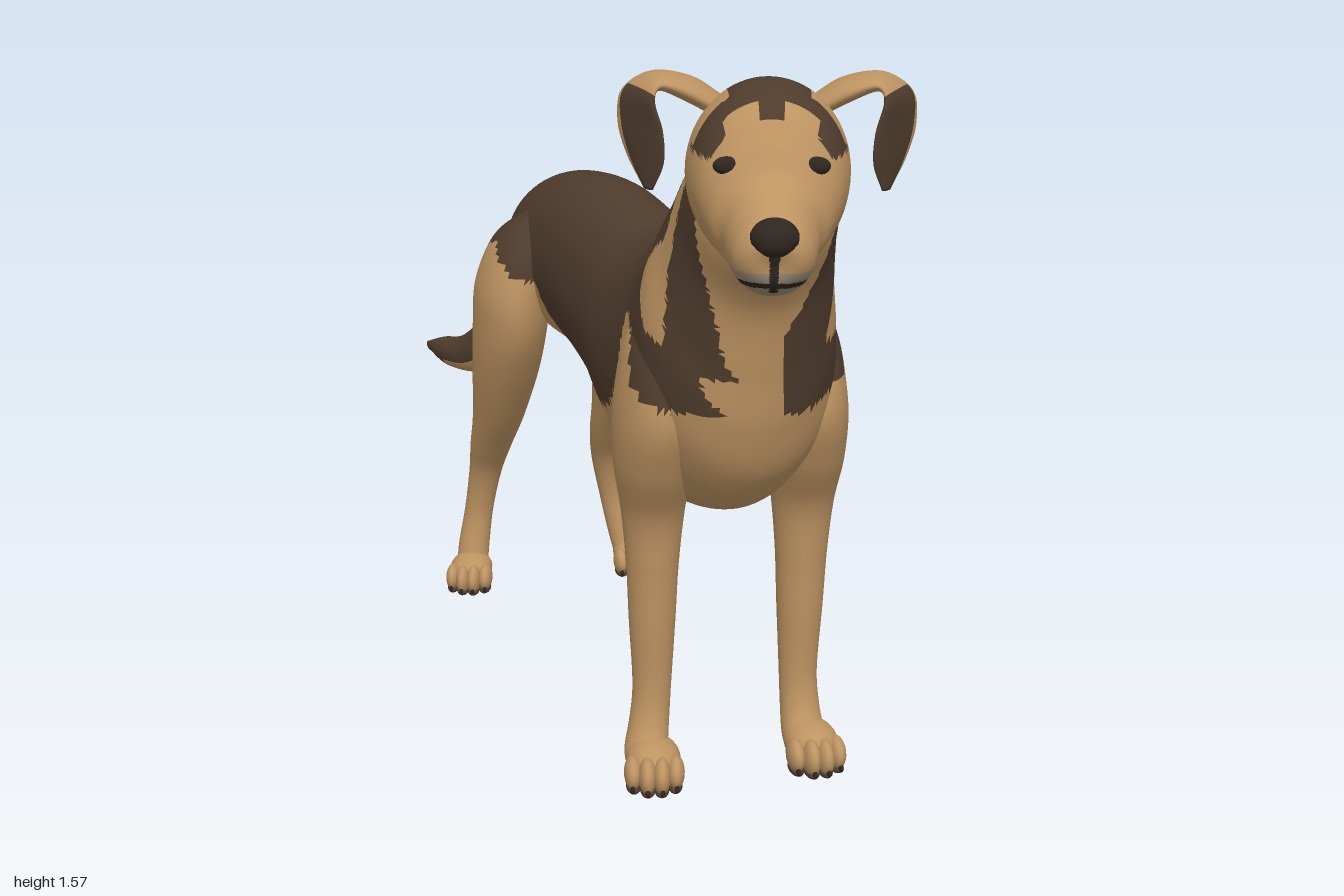
import * as THREE from 'three';

const mat = (name, color) => Object.assign(new THREE.MeshStandardMaterial({ color }), { name });
const COATS = [mat('tanCoat', 0xbe9462), mat('darkCoat', 0x4f3c2d), mat('greyMuzzle', 0x9c8b78), mat('darkSkin', 0x2f2620)];
const [TAN, DARK, GREY, SKIN] = [0, 1, 2, 3];
const V = (x, y, z) => new THREE.Vector3(x, y, z);

// Smooth tube through elliptical sections {c, u, v}; paint(point, angle, along) picks a coat per face.
function loft(name, sections, paint, steps = 8, around = 40) {
  const track = key => new THREE.CatmullRomCurve3(sections.map(s => s[key]), false, 'catmullrom', 0.5);
  const [C, U, W] = ['c', 'u', 'v'].map(track);
  const rings = (sections.length - 1) * steps, pos = [], buckets = COATS.map(() => []);
  for (let i = 0; i <= rings; i++) {
    const k = i / rings, c = C.getPoint(k), u = U.getPoint(k), v = W.getPoint(k);
    for (let j = 0; j < around; j++) {
      const t = j / around * Math.PI * 2;
      pos.push(...c.clone().addScaledVector(u, Math.cos(t)).addScaledVector(v, Math.sin(t)).toArray());
    }
  }
  const first = pos.length / 3, last = first + 1;
  pos.push(...C.getPoint(0).toArray(), ...C.getPoint(1).toArray());
  const m = sections.length >> 1, s = sections[m];
  const flip = s.u.clone().cross(s.v).dot(sections[m + 1].c.clone().sub(sections[m - 1].c)) < 0;
  const P = i => V(pos[i * 3], pos[i * 3 + 1], pos[i * 3 + 2]);
  const face = (a, b, c, t, k) => {
    const mid = P(a).add(P(b)).add(P(c)).divideScalar(3);
    buckets[paint(mid, t, k)].push(a, ...(flip ? [c, b] : [b, c]));
  };
  for (let j = 0; j < around; j++) {
    const n = (j + 1) % around, t = (j + 0.5) / around * Math.PI * 2, top = rings * around;
    for (let i = 0; i < rings; i++) {
      const a = i * around, b = a + around, k = (i + 0.5) / rings;
      face(a + j, a + n, b + n, t, k);
      face(a + j, b + n, b + j, t, k);
    }
    face(first, n, j, t, 0);
    face(last, top + j, top + n, t, 1);
  }
  const g = new THREE.BufferGeometry();
  g.setAttribute('position', new THREE.Float32BufferAttribute(pos, 3));
  g.setIndex(buckets.flat());
  let start = 0;
  buckets.forEach((b, i) => { if (b.length) g.addGroup(start, b.length, i); start += b.length; });
  g.computeVertexNormals();
  const mesh = new THREE.Mesh(g, COATS);
  mesh.name = name;
  return mesh;
}

// The spine runs diagonally, the head faces straight ahead.
const HEAD_X = 0.288;
const spineX = z => Math.min(HEAD_X, 0.085 + 0.39 * z);
const yawAt = z => 0.37 * (1 - THREE.MathUtils.smoothstep(z, 0.35, 0.62));

// Section from its top and bottom points in side profile and its half width.
const profile = (rows, xAt, yaw) => rows.map(([zt, yt, zb, yb, w]) => {
  const T = V(xAt(zt), yt, zt), B = V(xAt(zb), yb, zb), a = yaw((zt + zb) / 2);
  return { c: T.clone().add(B).multiplyScalar(0.5), v: T.clone().sub(B).multiplyScalar(0.5), u: V(w * Math.cos(a), 0, -w * Math.sin(a)) };
});

// Coat markings, as outlines along the spine (s) and up (y).
const SADDLE = [[-.9, .93], [-.62, .94], [-.48, .98], [-.36, .9], [-.3, .8], [-.18, .76], [0, .735], [.1, .76], [.2, .8], [.26, .86],
  [.28, 1.03], [.38, 1], [.45, .92], [.54, .88], [.6, .88], [.59, 1], [.48, 1.03], [.4, 1.09], [.36, 1.14], [.42, 1.19],
  [.48, 1.22], [.48, 1.3], [.52, 1.4], [.56, 1.46], [.62, 1.65], [-.9, 1.65]];
const STRIPE = [[.57, 1.5], [.55, 1.3], [.53, 1.15], [.55, .96], [.61, .96], [.62, 1.12], [.64, 1.25], [.65, 1.42], [.64, 1.5]];
function inside(poly, x, y) {
  let hit = false;
  poly.forEach(([x1, y1], i) => {
    const [x2, y2] = poly[(i + 1) % poly.length];
    if ((y1 > y) !== (y2 > y) && x < x1 + (x2 - x1) * (y - y1) / (y2 - y1)) hit = !hit;
  });
  return hit;
}
function bodyCoat(p) {
  const lat = p.x - spineX(p.z), s = p.z + 0.9 * lat * yawAt(p.z);
  if (s > 0.5 && Math.abs(lat) < 0.045) return TAN;
  return inside(SADDLE, s, p.y) || inside(STRIPE, s, p.y) ? DARK : TAN;
}
function headCoat(p) {
  const l = Math.abs(p.x - HEAD_X), { y, z } = p;
  if (z < 0.71 && y > 1.45) return l < 0.075 ? DARK : TAN;
  if (z < 0.69) return bodyCoat(p);
  if (z < 0.79 && y > 1.44) return z > 0.76 && l > 0.025 && l < 0.085 ? TAN : DARK;
  if (z > 0.88 && y > 1.245 && y < 1.256) return SKIN;
  if (z > 0.95 && l < 0.008 && y < 1.32) return SKIN;
  return z > 0.87 && y < 1.275 ? GREY : TAN;
}

function ball(name, material, c, r) {
  const m = new THREE.Mesh(new THREE.SphereGeometry(1, 20, 14), material);
  m.name = name;
  m.position.copy(c);
  m.scale.set(...r);
  return m;
}

// Limb through rows of [x, y, z, half width, half depth].
const limb = (name, rows) => loft(name, rows.map(([x, y, z, w, d]) => ({
  c: V(x, y, z), u: V(w * 0.98, 0, -w * 0.2), v: V(d * 0.2, 0, d * 0.98),
})), bodyCoat);

// Paw with four toes, claws and a dark sole.
function paw(name, x, z, yaw, size) {
  const g = new THREE.Group();
  g.name = name;
  g.position.set(x, 0, z);
  g.rotation.y = yaw;
  g.scale.setScalar(size);
  g.add(ball('pawBody', COATS[TAN], V(0, 0.05, -0.01), [0.056, 0.042, 0.072]));
  [-1.5, -0.5, 0.5, 1.5].forEach(i => {
    const outer = Math.abs(i) > 1, tz = outer ? 0.035 : 0.052;
    g.add(ball('toe', COATS[TAN], V(i * 0.029, 0.041, tz), [0.0185, outer ? 0.034 : 0.038, 0.04]));
    g.add(ball('toePad', COATS[DARK], V(i * 0.028, 0.012, tz), [0.016, 0.012, 0.034]));
    g.add(ball('claw', COATS[SKIN], V(i * 0.03, 0.02, tz + 0.034), [0.005, 0.008, 0.01]));
  });
  g.add(ball('heelPad', COATS[DARK], V(0, 0.014, -0.025), [0.045, 0.014, 0.045]));
  return g;
}

export function createModel() {
  const dog = new THREE.Group();
  dog.name = 'dog';

  // Torso and neck
  dog.add(loft('torsoAndNeck', profile([
    [-.745, .95, -.70, .86, .03], [-.72, 1.02, -.68, .78, .11], [-.64, 1.085, -.58, .74, .15], [-.5, 1.135, -.45, .73, .165],
    [-.3, 1.16, -.28, .73, .165], [-.1, 1.145, -.1, .68, .165], [.02, 1.127, .05, .62, .18], [.14, 1.15, .22, .575, .195],
    [.22, 1.185, .42, .62, .205], [.28, 1.225, .53, .72, .21], [.33, 1.28, .585, .84, .195], [.39, 1.355, .61, .97, .17],
    [.45, 1.42, .64, 1.1, .155], [.52, 1.49, .7, 1.19, .142], [.58, 1.53, .73, 1.225, .115],
  ], spineX, yawAt), bodyCoat, 12, 72));

  // Head and muzzle
  dog.add(loft('head', profile([
    [.52, 1.47, .55, 1.28, .05], [.545, 1.53, .6, 1.23, .12], [.62, 1.56, .66, 1.22, .152], [.7, 1.562, .72, 1.215, .15],
    [.77, 1.535, .77, 1.22, .135], [.815, 1.475, .81, 1.22, .114], [.85, 1.42, .85, 1.217, .091], [.91, 1.387, .9, 1.217, .081],
    [.955, 1.367, .94, 1.228, .07], [.983, 1.34, .968, 1.255, .045], [.988, 1.32, .975, 1.29, .01],
  ], () => HEAD_X, () => 0), headCoat, 12, 72));
  dog.add(ball('nose', COATS[SKIN], V(HEAD_X, 1.337, 0.963), [0.044, 0.036, 0.037]));

  for (const s of [-1, 1]) {
    const side = s < 0 ? 'right' : 'left';
    const X = x => HEAD_X + s * x;
    // Eyes
    dog.add(ball(side + 'Eye', COATS[SKIN], V(X(0.08), 1.432, 0.812), [0.026, 0.017, 0.014]));
    // Folded ears: x out, y, z, half width (sideways, forward), thickness
    const ear = [[.09, 1.5, .6, 0, .05, .02], [.15, 1.535, .605, 0, .062, .022], [.21, 1.55, .612, -.012, .062, .016],
      [.242, 1.525, .63, -.03, .058, .014], [.238, 1.47, .645, -.042, .052, .011], [.228, 1.41, .655, -.034, .04, .009],
      [.222, 1.355, .662, -.008, .012, .005]].map(([x, y, z, ux, uz, t]) => ({ c: V(X(x), y, z), u: V(s * ux, 0, uz), t }));
    ear.forEach((e, i) => {
      const along = ear[Math.min(i + 1, 6)].c.clone().sub(ear[Math.max(i - 1, 0)].c);
      e.v = along.cross(e.u).normalize().multiplyScalar(e.t);
    });
    dog.add(loft(side + 'Ear', ear, (p, t, k) => (k > 0.45 && Math.cos(t) > -0.65 ? DARK : TAN), 8, 32));

    // Front legs
    const fx = s < 0 ? 0.075 : 0.395, fz = s < 0 ? 0.375 : 0.29;
    dog.add(limb(side + 'FrontLeg', [
      [-.04, 1.07, .01, .02, .03], [-.02, 1.0, .03, .07, .11], [-.005, .85, .035, .085, .15], [0, .72, .025, .082, .12],
      [0, .6, 0, .067, .08], [0, .48, 0, .056, .062], [0, .35, 0, .05, .053], [0, .2, 0, .042, .043],
      [.005, .12, .01, .043, .046], [.012, .06, .035, .046, .055], [.014, .025, .045, .04, .05],
    ].map(([x, y, z, w, d]) => [fx + s * x, y, fz + z, w, d])));
    dog.add(ball(side + 'DewPad', COATS[TAN], V(fx - s * 0.02, 0.165, fz - 0.035), [0.016, 0.022, 0.018]));
    dog.add(paw(side + 'FrontPaw', s < 0 ? 0.08 : 0.425, s < 0 ? 0.452 : 0.362, s < 0 ? 0.05 : 0.2, 1.05));

    // Hind legs: right x, left x, y, z, half width, half depth
    const hz = s < 0 ? 0.1 : 0;
    dog.add(limb(side + 'HindLeg', [
      [-.21, -.07, 1.05, -.55, .02, .03], [-.24, -.02, .98, -.55, .075, .12], [-.272, .008, .87, -.55, .09, .155],
      [-.282, .013, .76, -.56, .09, .155], [-.296, 0, .64, -.585, .082, .122], [-.32, -.022, .5, -.64, .065, .085],
      [-.345, -.042, .4, -.692, .053, .062], [-.365, -.05, .31, -.735, .042, .047], [-.385, -.035, .2, -.75, .037, .036],
      [-.4, -.01, .1, -.745, .04, .04], [-.405, .01, .03, -.73, .04, .045],
    ].map(([xr, xl, y, z, w, d]) => [s < 0 ? xr : xl, y, z + hz, w, d])));
    dog.add(paw(side + 'HindPaw', s < 0 ? -0.405 : 0.02, s < 0 ? -0.595 : -0.715, s < 0 ? -0.05 : 0.2, 0.97));
  }

  // Tail, swung out to the right, pale underneath
  dog.add(loft('tail', profile([
    [-.66, 1.04, -.62, .95, .04], [-.715, .99, -.675, .9, .052], [-.755, .85, -.705, .77, .05], [-.82, .71, -.755, .61, .048],
    [-.9, .6, -.845, .515, .043], [-.96, .572, -.93, .497, .032], [-1, .548, -.992, .525, .008],
  ], z => -0.18 + 1.15 * (z + 0.68), () => 0.855), (p, t) => (Math.sin(t) > -0.35 || p.z < -0.92 || p.y > 0.8 ? DARK : TAN), 10, 36));

  return dog;
}
